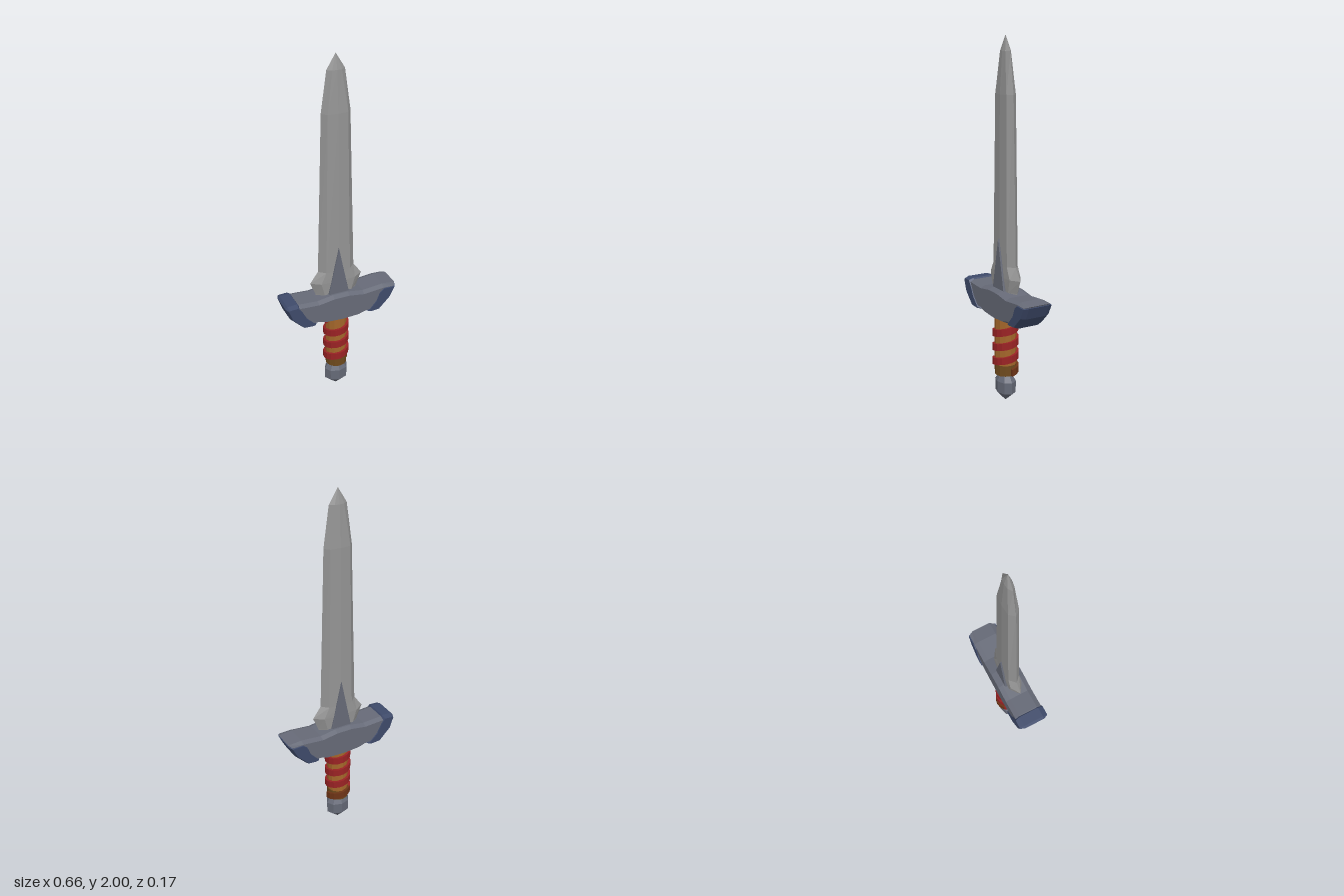
import * as THREE from 'three';

const mat = (name, color) => {
  const m = new THREE.MeshStandardMaterial({ color });
  m.name = name;
  return m;
};

// Faceted normals
function flat(geometry) {
  const g = geometry.index ? geometry.toNonIndexed() : geometry;
  g.computeVertexNormals();
  return g;
}

// Skin a row of closed rings and cap both ends
function loft(rings) {
  const n = rings[0].length, index = [];
  for (let j = 0; j < rings.length - 1; j++) {
    for (let i = 0; i < n; i++) {
      const a = j * n + i, b = j * n + (i + 1) % n;
      index.push(a, b, b + n, a, b + n, a + n);
    }
  }
  const end = (rings.length - 1) * n;
  for (let i = 1; i < n - 1; i++) {
    index.push(0, i + 1, i, end, end + i, end + i + 1);
  }
  const g = new THREE.BufferGeometry();
  g.setAttribute('position', new THREE.Float32BufferAttribute(rings.flat(2), 3));
  g.setIndex(index);
  return flat(g);
}

// Outline in the front plane, chamfered, reaching z = +-halfDepth
function slab(points, halfDepth, bevelDepth, bevelSize) {
  const shape = new THREE.Shape(points.map(([x, y]) => new THREE.Vector2(x, y)));
  const depth = 2 * (halfDepth - bevelDepth);
  const g = new THREE.ExtrudeGeometry(shape, {
    depth, bevelEnabled: true, bevelThickness: bevelDepth,
    bevelSize, bevelOffset: -bevelSize, bevelSegments: 1,
  });
  g.translate(0, 0, -depth / 2);
  return flat(g);
}

// Band wound around the grip from angle a0 to a1
function wrapBand(a0, a1) {
  const steps = Math.ceil((a1 - a0) / (Math.PI / 8)), rings = [];
  for (let s = 0; s <= steps; s++) {
    const a = a0 + (a1 - a0) * s / steps;
    const y = 0.242 + 0.082 * a / (2 * Math.PI);
    rings.push([[0.073, 0.02], [0.073, -0.02], [0.052, -0.02], [0.052, 0.02]]
      .map(([r, dy]) => [r * Math.sin(a), y + dy, r * Math.cos(a)]));
  }
  return loft(rings);
}

export function createModel() {
  const steel = mat('steel', 0x949494);
  const iron = mat('iron', 0x666a77);
  const blueIron = mat('blue iron', 0x3e4a6a);
  const wood = mat('wood', 0xa4662a);
  const darkWood = mat('dark wood', 0x6e4a1c);
  const red = mat('red leather', 0x9a2224);
  const darkRed = mat('dark leather', 0x6e3416);

  const model = new THREE.Group();
  const add = (name, geometry, material, x = 0, y = 0) => {
    const mesh = new THREE.Mesh(geometry, material);
    mesh.name = name;
    mesh.position.set(x, y, 0);
    model.add(mesh);
    return mesh;
  };
  const cx = -0.007;

  // Blade: height, half width, shoulder half width, half thickness
  const blade = [
    [0.6, 0.11, 0.075, 0.036], [0.65, 0.122, 0.08, 0.038], [0.725, 0.153, 0.1, 0.041],
    [0.79, 0.106, 0.07, 0.04], [1.7, 0.081, 0.056, 0.034],
    [1.92, 0.05, 0.026, 0.02], [2.0, 0.001, 0.0005, 0.001],
  ].map(([y, w, s, t]) => [
    [0, y, t], [s, y, t * 0.85], [w, y, 0], [s, y, -t * 0.85],
    [0, y, -t], [-s, y, -t * 0.85], [-w, y, 0], [-s, y, -t * 0.85 * -1],
  ]);
  add('blade', loft(blade), steel, cx);

  // Spike plates rising from the guard on both faces
  add('bladeSpike', slab([[-0.064, 0.63], [0.064, 0.63], [0, 0.935]], 0.047, 0.006, 0.004), iron, cx);

  // Crossguard
  add('guard', slab([
    [-0.1, 0.495], [0, 0.488], [0.1, 0.493], [0.14, 0.505], [0.2, 0.51], [0.28, 0.575],
    [0.328, 0.645], [0.25, 0.652], [0.13, 0.641], [0.04, 0.655], [-0.05, 0.655],
    [-0.14, 0.641], [-0.25, 0.648], [-0.315, 0.642], [-0.28, 0.575], [-0.2, 0.51], [-0.14, 0.508],
  ], 0.082, 0.026, 0.012), iron);
  add('rightGuardTip', slab([
    [-0.33, 0.64], [-0.305, 0.57], [-0.235, 0.5], [-0.175, 0.496], [-0.15, 0.507],
    [-0.21, 0.57], [-0.235, 0.62], [-0.26, 0.655], [-0.318, 0.652],
  ], 0.087, 0.028, 0.01), blueIron);
  add('leftGuardTip', slab([
    [0.328, 0.637], [0.315, 0.643], [0.25, 0.645], [0.22, 0.62], [0.2, 0.57],
    [0.145, 0.507], [0.175, 0.496], [0.225, 0.5], [0.295, 0.57],
  ], 0.087, 0.028, 0.01), blueIron);

  // Grip with its darker foot
  add('grip', flat(new THREE.CylinderGeometry(0.06, 0.06, 0.3, 12)), wood, cx, 0.37);
  add('gripFoot', flat(new THREE.CylinderGeometry(0.06, 0.06, 0.06, 12)), darkWood, cx, 0.19);

  // Leather wrap
  const seam = -Math.PI * 0.75;
  add('wrapEnd', wrapBand(-Math.PI * 1.5, seam), darkRed, cx);
  add('wrap', wrapBand(seam, Math.PI * 5.6), red, cx);

  // Pommel
  const profile = [[0, 0], [0.068, 0.055], [0.07, 0.12], [0.045, 0.158], [0.045, 0.17], [0, 0.17]]
    .map(([r, y]) => new THREE.Vector2(r, y));
  const pommel = add('pommel', flat(new THREE.LatheGeometry(profile, 8)), iron, cx);
  pommel.scale.z = 0.76;

  return model;
}
